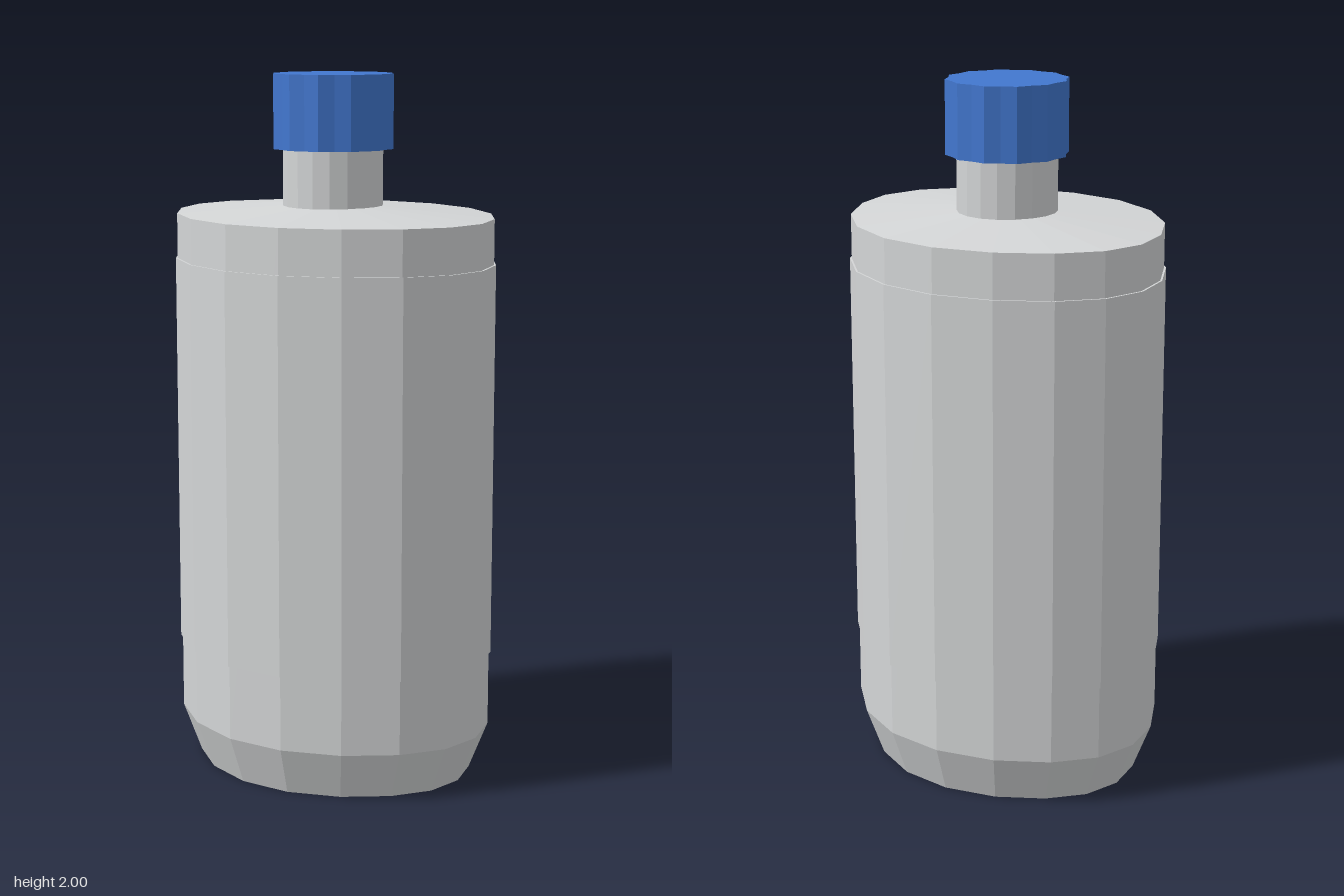
import * as THREE from 'three';

const grey = new THREE.MeshStandardMaterial({ color: 0xd4d6d7 });
grey.name = 'pale grey plastic';
const blue = new THREE.MeshStandardMaterial({ color: 0x4277cf });
blue.name = 'blue plastic';
grey.flatShading = blue.flatShading = true;

// Lofts a closed outline of [x, z] points through levels of [scale, y]; scale 0 closes to a point.
function loft(outline, levels) {
  const n = outline.length, pos = [], idx = [];
  for (const [s, y] of levels) for (const [x, z] of outline) pos.push(x * s, y, z * s);
  for (let l = 0; l < levels.length - 1; l++) {
    for (let i = 0; i < n; i++) {
      const a = l * n + i, b = l * n + (i + 1) % n;
      if (levels[l][0] > 0) idx.push(a, a + n, b);
      if (levels[l + 1][0] > 0) idx.push(b, a + n, b + n);
    }
  }
  const g = new THREE.BufferGeometry();
  g.setAttribute('position', new THREE.Float32BufferAttribute(pos, 3));
  g.setIndex(idx);
  const flat = g.toNonIndexed();
  flat.computeVertexNormals();
  return flat;
}

// Circle outline whose radius may alternate between points
function ring(count, radius, inner = radius) {
  return Array.from({ length: count }, (_, i) => {
    const a = (i / count) * Math.PI * 2, r = i % 2 ? inner : radius;
    return [Math.cos(a) * r, Math.sin(a) * r];
  });
}

export function createModel() {
  const group = new THREE.Group();
  const add = (name, geometry, material, x = 0, z = 0) => {
    const m = new THREE.Mesh(geometry, material);
    m.name = name;
    m.position.set(x, 0, z);
    group.add(m);
  };

  // Eighteen-sided oval, mirrored from one quarter
  const quarter = [[0.425, 0], [0.394, 0.172], [0.308, 0.325], [0.19, 0.437], [0.065, 0.497]];
  const half = [...quarter, ...quarter.slice(1).reverse().map(([x, z]) => [-x, z])];
  const oval = [...half, [-0.425, 0], ...half.slice(1).reverse().map(([x, z]) => [x, -z])];

  // Bottle body with tapered foot and shallow sloping shoulder
  add('body', loft(oval, [[0, 0], [0.883, 0], [1, 0.14], [1, 1.605], [0.3, 1.63], [0, 1.63]]), grey, 0, -0.002);

  // Slightly raised band around the body
  add('raisedBand', loft(oval, [[0.99, 0.355], [1.012, 0.355], [1.012, 1.477], [0.99, 1.477]]), grey, 0, -0.002);

  // Neck
  add('neck', loft(ring(18, 0.143), [[1, 1.6], [1, 1.82]]), grey, -0.002, -0.003);

  // Screw cap with twelve shallow grip flutes
  add('cap', loft(ring(24, 0.175, 0.165), [[0, 1.79], [1, 1.79], [1, 2], [0, 2]]), blue, -0.002, -0.003);

  return group;
}
